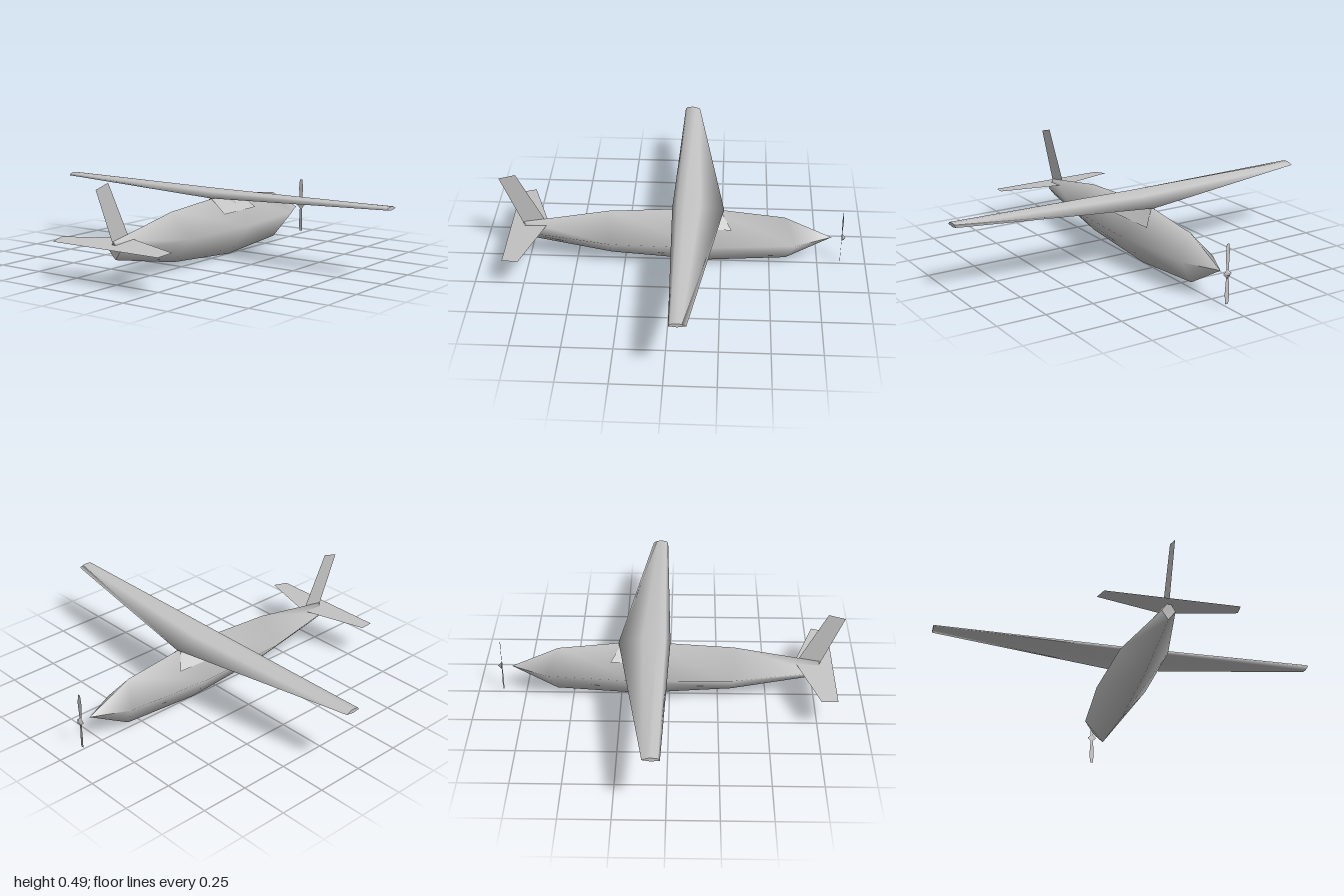
import * as THREE from 'three';

// Smooth skin through rings of points; rings run counter-clockwise seen from the first one.
function loft(rings) {
  const n = rings[0].length, pos = rings.flat(2), idx = [];
  for (let r = 0; r < rings.length - 1; r++) {
    for (let i = 0; i < n; i++) {
      const a = r * n + i, b = r * n + (i + 1) % n;
      idx.push(a, a + n, b, b, a + n, b + n);
    }
  }
  // flat end caps with their own corners
  [rings[0], [...rings[rings.length - 1]].reverse()].forEach((ring) => {
    const base = pos.length / 3;
    pos.push(...ring.flat());
    for (let i = 1; i < n - 1; i++) idx.push(base, base + i, base + i + 1);
  });
  return build(pos, idx);
}

// Flat convex panel
function panel(points) {
  const idx = [];
  for (let i = 1; i < points.length - 1; i++) idx.push(0, i, i + 1);
  return build(points.flat(), idx);
}

function build(pos, idx) {
  const g = new THREE.BufferGeometry();
  g.setAttribute('position', new THREE.Float32BufferAttribute(pos, 3));
  g.setIndex(idx);
  g.computeVertexNormals();
  return g;
}

export function createModel() {
  const model = new THREE.Group();
  model.name = 'propellerAirplane';
  const grey = new THREE.MeshStandardMaterial({ color: 0xc4c4c4, side: THREE.DoubleSide });
  grey.name = 'light grey';
  const add = (name, geometry, parent = model) => {
    const mesh = new THREE.Mesh(geometry, grey);
    mesh.name = name;
    parent.add(mesh);
    return mesh;
  };

  // Fuselage: diamond sections [half width, side z, top y, top z, bottom y, bottom z], tail to nose
  const sections = [
    [0.033, 0.76, 0.21, 0.77, 0.12, 0.755],
    [0.12, 0.32, 0.29, 0.33, 0.035, 0.32],
    [0.13, -0.16, 0.322, -0.16, 0, -0.16],
    [0.09, -0.63, 0.277, -0.57, 0.03, -0.585],
    [0, -0.815, 0.163, -0.815, 0.163, -0.815],
  ];
  add('fuselage', loft(sections.map(([w, z, top, tz, bottom, bz]) => [
    [w, 0.163, z], [0, top, tz], [-w, 0.163, z], [0, bottom, bz],
  ])));

  // Wing: trailing edge, over the ridge, to the leading edge and back underneath [y, z]
  const root = [[0.315, 0.005], [0.345, -0.02], [0.36, -0.06], [0.342, -0.137], [0.315, -0.26], [0.313, -0.1]];
  const tip = [[0.348, -0.025], [0.359, -0.035], [0.363, -0.065], [0.36, -0.085], [0.35, -0.107], [0.343, -0.065]];
  const ring = (x, section) => section.map(([y, z]) => [x, y, z]);
  add('wing', loft([ring(-1, tip), ring(0, root), ring(1, tip)]));

  // Cabin side windows lying on the upper fuselage
  for (const s of [1, -1]) {
    add(s > 0 ? 'leftCabinWindow' : 'rightCabinWindow', panel([
      [s * 0.003, 0.316, 0.005], [s * 0.078, 0.237, -0.01],
      [s * 0.07, 0.237, -0.3], [s * 0.003, 0.316, -0.24],
    ]));
  }

  // Tail surfaces
  add('tailplane', panel([
    [-0.02, 0.206, 0.65], [-0.335, 0.195, 0.755], [-0.32, 0.185, 0.84],
    [0.32, 0.185, 0.84], [0.335, 0.195, 0.755], [0.02, 0.206, 0.65],
  ]));
  add('tailFin', panel([
    [0, 0.19, 0.77], [0, 0.21, 0.655], [0, 0.49, 0.8], [0, 0.467, 0.886],
  ]));

  // Propeller: pointed hub with two flat blades
  const propeller = new THREE.Group();
  propeller.name = 'propeller';
  propeller.position.set(0, 0.163, -0.868);
  model.add(propeller);
  const hub = add('hub', new THREE.ConeGeometry(0.024, 0.02, 4), propeller);
  hub.rotation.x = -Math.PI / 2;
  hub.position.z = -0.01;
  for (const s of [1, -1]) {
    const blade = add(s > 0 ? 'upperBlade' : 'lowerBlade', panel([
      [-0.006, 0, 0], [0.006, 0, 0], [0.012, 0.1, -0.002],
      [0.008, 0.148, 0], [-0.008, 0.148, 0], [-0.012, 0.1, 0.002],
    ]), propeller);
    blade.rotation.z = s > 0 ? 0 : Math.PI;
  }
  return model;
}
